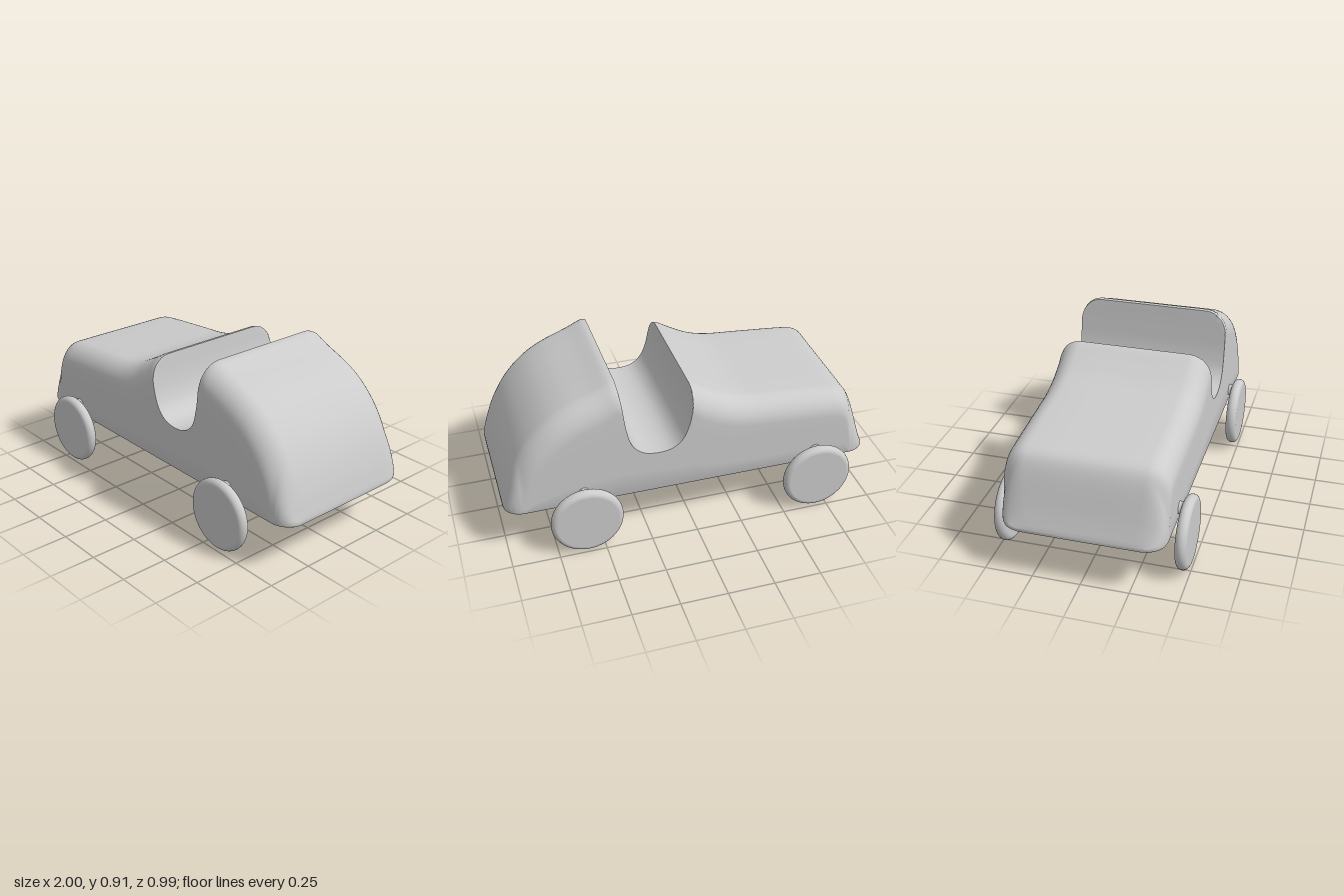
import * as THREE from 'three';
import { toCreasedNormals } from 'three/addons/utils/BufferGeometryUtils.js';

const BASE = 0.262, HALF_WIDTH = 0.42;
const material = new THREE.MeshStandardMaterial({ color: 0xcccccc, roughness: 0.7 });

// Side outline, split at the two sharp crests of the cockpit
const nose = [[-1, 0.283], [-0.97, 0.37], [-0.9, 0.59], [-0.87, 0.635], [-0.83, 0.655], [-0.76, 0.665],
  [-0.5, 0.687], [-0.3, 0.705], [-0.2, 0.732], [-0.1, 0.782], [-0.02, 0.827], [-0.003, 0.83]];
const cockpit = [[-0.003, 0.83], [0.01, 0.72], [0.03, 0.63], [0.06, 0.565], [0.11, 0.522], [0.19, 0.508],
  [0.27, 0.524], [0.325, 0.575], [0.355, 0.67], [0.372, 0.79], [0.385, 0.915]];
const tail = [[0.385, 0.915], [0.4, 0.918], [0.5, 0.875], [0.65, 0.812], [0.75, 0.748], [0.85, 0.645],
  [0.92, 0.53], [0.97, 0.4], [1, 0.283]];

function sample(points, count) {
  const curve = new THREE.CatmullRomCurve3(points.map(([x, y]) => new THREE.Vector3(x, y, 0)), false, 'centripetal');
  return curve.getSpacedPoints(count);
}

// One cross-section: rounded shoulders, cut off flat at the cockpit height
function section(x, shell, cut, slope) {
  const end = Math.max(0, (Math.abs(x) - 0.9) / 0.1);
  const w = HALF_WIDTH - 0.09 * (1 - Math.sqrt(Math.max(0, 1 - end * end)));
  const ry = Math.min(0.13 * Math.hypot(1, slope), (shell - BASE - 0.018) * 0.95);
  const rz = 0.12;
  const half = [[w - 0.02, BASE], [w - 0.006, BASE + 0.006], [w, BASE + 0.018]];
  const low = BASE + 0.018, high = shell - ry;
  for (let k = 1; k <= 4; k++) half.push([w, low + (high - low) * k / 4]);
  for (let k = 1; k <= 10; k++) {
    const a = k / 10 * Math.PI / 2;
    half.push([w - rz + rz * Math.cos(a), high + ry * Math.sin(a)]);
  }
  half.push([(w - rz) / 2, shell]);
  const right = half.map(([z, y]) => [x, Math.min(y, cut), z]);
  const left = right.map(([px, y, z]) => [px, y, -z]).reverse();
  return [...right, ...left];
}

function bodyGeometry() {
  const stations = [];
  const addOuter = pts => pts.forEach((p, i) => {
    const a = pts[Math.max(0, i - 1)], b = pts[Math.min(pts.length - 1, i + 1)];
    stations.push(section(p.x, p.y, p.y, (b.y - a.y) / (b.x - a.x)));
  });
  addOuter(sample(nose, 60));
  for (const p of sample(cockpit, 40).slice(1, -1)) {
    const t = (p.x + 0.003) / 0.388;
    stations.push(section(p.x, 0.83 + 0.085 * t, p.y, 0.2));
  }
  addOuter(sample(tail, 44));

  // Skin between neighbouring cross-sections
  const n = stations[0].length, rows = stations.length;
  const positions = stations.flat(2), index = [];
  for (let i = 0; i < rows - 1; i++) {
    for (let j = 0; j < n; j++) {
      const k = (j + 1) % n, a = i * n + j, c = i * n + k;
      index.push(a, a + n, c, a + n, c + n, c);
    }
  }
  // Close the thin nose and tail ends
  const mid = rows * n, last = (rows - 1) * n;
  positions.push(-1, 0.272, 0, 1, 0.272, 0);
  for (let j = 0; j < n; j++) {
    const k = (j + 1) % n;
    index.push(mid, j, k, mid + 1, last + k, last + j);
  }
  const geometry = new THREE.BufferGeometry();
  geometry.setAttribute('position', new THREE.Float32BufferAttribute(positions, 3));
  geometry.setIndex(index);
  return toCreasedNormals(geometry, 0.7);
}

// Flat disc with a rounded rim, turned to spin about z
function wheelGeometry() {
  const R = 0.192, r = 0.03, profile = [new THREE.Vector2(0, -r)];
  for (let k = 0; k <= 12; k++) {
    const a = (k / 12 - 0.5) * Math.PI;
    profile.push(new THREE.Vector2(R - r + r * Math.cos(a), r * Math.sin(a)));
  }
  profile.push(new THREE.Vector2(0, r));
  return new THREE.LatheGeometry(profile, 56).rotateX(Math.PI / 2);
}

// Flared stub that joins a wheel to the body
function stubGeometry() {
  const profile = [[0.065, -0.03], [0.042, -0.018], [0.03, -0.004], [0.03, 0.008], [0.045, 0.022]]
    .map(([x, y]) => new THREE.Vector2(x, y));
  return new THREE.LatheGeometry(profile, 24).rotateX(Math.PI / 2);
}

export function createModel() {
  const model = new THREE.Group();
  model.name = 'toyCar';
  const add = (name, geometry, x = 0, y = 0, z = 0) => {
    const mesh = new THREE.Mesh(geometry, material);
    mesh.name = name;
    mesh.position.set(x, y, z);
    model.add(mesh);
    return mesh;
  };

  add('body', bodyGeometry());

  const wheel = wheelGeometry(), stub = stubGeometry();
  for (const [end, x] of [['nose', -0.69], ['tail', 0.59]]) {
    for (const side of [1, -1]) {
      add(end + 'Wheel', wheel, x, 0.196, side * 0.467);
      const joint = add(end + 'WheelStub', stub, x, 0.335, side * 0.428);
      if (side < 0) joint.rotation.y = Math.PI;
    }
  }
  return model;
}
